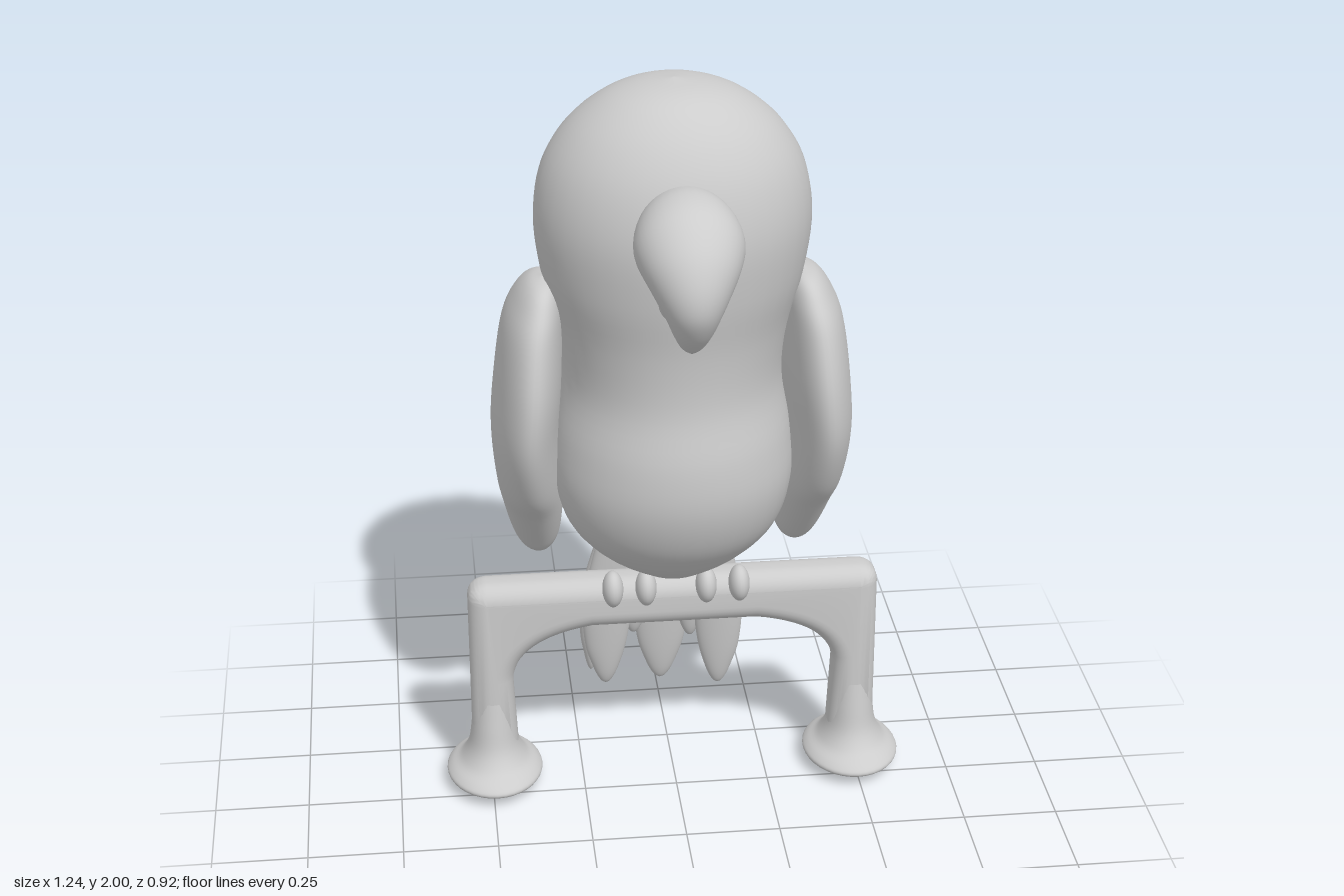
import * as THREE from 'three';
import { toCreasedNormals } from 'three/addons/utils/BufferGeometryUtils.js';

// Smooth closed loft. Each row is an elliptical section:
// [centre x, half width, y and z of its front edge, y and z of its back edge]
function loft(rows, steps = 5, around = 40) {
  const curve = (k) => new THREE.CatmullRomCurve3(
    rows.map((r) => new THREE.Vector3(r[k], r[k + 1], r[k + 2])), false, 'catmullrom', 0.5);
  const a = curve(0), b = curve(3);
  const n = (rows.length - 1) * steps;
  const pos = [], idx = [];
  for (let i = 0; i <= n; i++) {
    const [cx, w, y1] = a.getPoint(i / n).toArray();
    const [z1, y2, z2] = b.getPoint(i / n).toArray();
    for (let j = 0; j < around; j++) {
      const t = (j / around) * Math.PI * 2, s = Math.sin(t) / 2;
      pos.push(cx + Math.max(w, 0) * Math.cos(t), (y1 + y2) / 2 + (y1 - y2) * s, (z1 + z2) / 2 + (z1 - z2) * s);
      if (i < n) {
        const p = i * around + j, q = i * around + ((j + 1) % around);
        idx.push(p, q, p + around, q, q + around, p + around);
      }
    }
  }
  const g = new THREE.BufferGeometry();
  g.setAttribute('position', new THREE.Float32BufferAttribute(pos, 3));
  g.setIndex(idx);
  g.computeVertexNormals();
  return g;
}

// Loft through level sections: [y, centre x, half width, front z, back z]
const levelLoft = (rows, side = 1) =>
  loft(rows.map(([y, cx, w, zf, zb]) => [cx * side, w, y, zf, y, zb]));

export function createModel() {
  const model = new THREE.Group();
  const grey = new THREE.MeshStandardMaterial({ color: 0xcccccc });
  grey.name = 'lightGrey';
  const add = (name, geometry, x = 0, y = 0, z = 0) => {
    const mesh = new THREE.Mesh(geometry, grey);
    mesh.name = name;
    mesh.position.set(x, y, z);
    model.add(mesh);
    return mesh;
  };

  // Head and body in one smooth form
  add('body', levelLoft([
    [2.0, 0, 0, -0.07, -0.07],
    [1.985, 0, 0.1, 0.03, -0.17],
    [1.95, 0, 0.185, 0.1, -0.245],
    [1.88, 0, 0.268, 0.165, -0.32],
    [1.78, 0, 0.327, 0.213, -0.385],
    [1.65, 0, 0.35, 0.235, -0.425],
    [1.5, 0, 0.335, 0.222, -0.433],
    [1.35, 0, 0.298, 0.195, -0.438],
    [1.2, 0, 0.285, 0.187, -0.455],
    [1.05, 0, 0.308, 0.21, -0.45],
    [0.92, 0, 0.312, 0.205, -0.41],
    [0.8, 0, 0.28, 0.16, -0.36],
    [0.71, 0, 0.21, 0.085, -0.31],
    [0.65, 0, 0.12, 0.01, -0.24],
    [0.625, 0, 0.06, -0.04, -0.18],
    [0.617, 0, 0, -0.11, -0.11],
  ]));

  // Hooked beak
  add('upperBeak', loft([
    [0, 0.11, 1.81, 0.16, 1.57, 0.16],
    [0, 0.13, 1.82, 0.25, 1.57, 0.23],
    [0, 0.132, 1.797, 0.34, 1.575, 0.26],
    [0, 0.115, 1.73, 0.415, 1.57, 0.28],
    [0, 0.09, 1.65, 0.453, 1.55, 0.29],
    [0, 0.066, 1.575, 0.455, 1.525, 0.3],
    [0, 0.046, 1.51, 0.42, 1.49, 0.305],
    [0, 0.026, 1.462, 0.372, 1.458, 0.312],
    [0, 0, 1.44, 0.338, 1.44, 0.338],
  ]));
  add('lowerBeak', new THREE.SphereGeometry(1, 28, 18), 0, 1.53, 0.24).scale.set(0.07, 0.055, 0.055);

  // Tail: [tip x, half width, tip y, z offset, top x]
  const feathers = [
    [0, 0.08, 0.08, -0.045, 0], [0.16, 0.07, 0.08, 0, 0.07], [-0.16, 0.07, 0.1, 0, -0.07],
    [0.08, 0.055, 0.24, -0.02, 0.04], [-0.08, 0.055, 0.26, -0.02, -0.04],
    [0.195, 0.036, 0.12, -0.03, 0.08], [-0.2, 0.036, 0.13, -0.03, -0.08],
  ];
  for (const [x, w, tip, dz, top] of feathers) {
    const rows = [[0, 0, 0], [0.03, 0.5, 0.6], [0.3, 0.9, 1], [0.6, 1, 1], [0.8, 0.85, 0.9],
      [0.92, 0.52, 0.7], [0.98, 0.24, 0.4], [1, 0, 0]].map(([t, k, thick]) => {
      const y = 0.85 + (tip - 0.85) * t;
      const z = -0.355 + (y - 0.6) * 0.12 + dz + 0.02;
      return [y, top + (x - top) * Math.min(1, t * 1.5), w * k, z + 0.033 * thick, z - 0.033 * thick];
    });
    add('tailFeather', levelLoft(rows));
  }

  // Perch: bar and two legs with rounded inner brackets
  const arch = new THREE.Shape();
  arch.moveTo(-0.55, 0.12);
  arch.lineTo(-0.55, 0.57);
  arch.quadraticCurveTo(-0.55, 0.615, -0.5, 0.62);
  arch.lineTo(0.5, 0.62);
  arch.quadraticCurveTo(0.55, 0.615, 0.55, 0.57);
  arch.lineTo(0.55, 0.12);
  arch.lineTo(0.425, 0.12);
  arch.lineTo(0.435, 0.33);
  arch.quadraticCurveTo(0.42, 0.45, 0.22, 0.48);
  arch.lineTo(-0.22, 0.48);
  arch.quadraticCurveTo(-0.42, 0.45, -0.435, 0.33);
  arch.lineTo(-0.425, 0.12);
  const archGeometry = new THREE.ExtrudeGeometry(arch, {
    depth: 0.025, bevelThickness: 0.05, bevelSize: 0.05, bevelOffset: -0.05, bevelSegments: 7, curveSegments: 14,
  });
  add('perch', toCreasedNormals(archGeometry, 0.9), 0, 0, -0.1);

  // Flared oval foot under each leg
  const footProfile = new THREE.SplineCurve([[0.001, 0.004], [0.07, 0.008], [0.118, 0.03], [0.13, 0.045],
    [0.118, 0.062], [0.09, 0.085], [0.068, 0.13], [0.058, 0.2], [0.05, 0.27]]
    .map(([r, y]) => new THREE.Vector2(r, y))).getPoints(36);

  for (const side of [1, -1]) {
    add('perchFoot', new THREE.LatheGeometry(footProfile, 36), side * 0.492, 0, -0.085).scale.z = 1.25;

    // Folded wing
    add('wing', levelLoft([
      [1.49, 0.33, 0, -0.08, -0.08],
      [1.475, 0.335, 0.035, 0.0, -0.17],
      [1.43, 0.345, 0.06, 0.05, -0.25],
      [1.35, 0.36, 0.077, 0.092, -0.315],
      [1.2, 0.373, 0.086, 0.12, -0.37],
      [1.05, 0.383, 0.087, 0.102, -0.392],
      [0.9, 0.375, 0.085, 0.03, -0.388],
      [0.8, 0.363, 0.08, -0.06, -0.38],
      [0.7, 0.354, 0.065, -0.145, -0.36],
      [0.65, 0.35, 0.046, -0.19, -0.335],
      [0.625, 0.348, 0.022, -0.23, -0.3],
      [0.618, 0.348, 0, -0.265, -0.265],
    ], side));

    // Toes gripping the bar
    for (const x of [0.08, 0.168]) {
      add('toe', new THREE.SphereGeometry(1, 20, 14), side * x, 0.615, -0.012).scale.set(0.028, 0.05, 0.044);
    }
  }
  return model;
}
